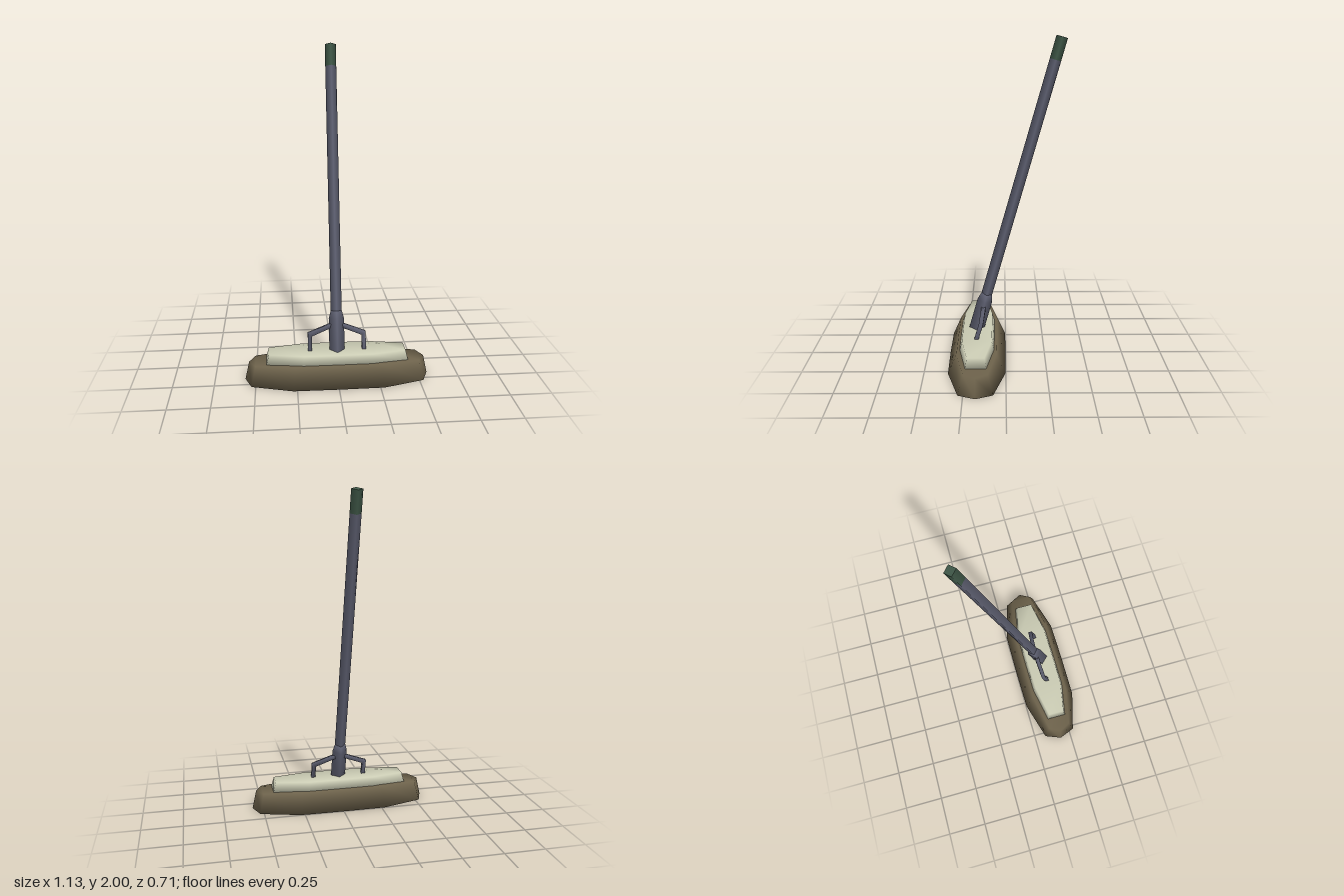
import * as THREE from 'three';
import { mergeVertices } from 'three/addons/utils/BufferGeometryUtils.js';

const material = (name, color) => {
  const m = new THREE.MeshStandardMaterial({ color });
  m.name = name;
  return m;
};

// Closed, smooth loft through four-cornered sections running towards +x.
// Corner order: back low, back high, front high, front low.
function loft(sections) {
  const index = [];
  const last = (sections.length - 1) * 4;
  for (let i = 0; i < sections.length - 1; i++) {
    for (let j = 0; j < 4; j++) {
      const a = i * 4 + j, b = i * 4 + (j + 1) % 4;
      index.push(a, b, b + 4, a, b + 4, a + 4);
    }
  }
  index.push(0, 2, 1, 0, 3, 2);
  index.push(last, last + 1, last + 2, last, last + 2, last + 3);
  const g = new THREE.BufferGeometry();
  g.setAttribute('position', new THREE.Float32BufferAttribute(sections.flat(2), 3));
  g.setIndex(index);
  const merged = mergeVertices(g);
  merged.computeVertexNormals();
  return merged;
}

const mirrored = (sections) =>
  sections.map((s) => s.map(([x, y, z]) => [-x, y, z])).reverse();

// Tapered block, symmetric in x and z.
// Each row: low x, low y, low half depth, high x, high y, high half depth.
function block(rows) {
  const right = rows.map(([xl, yl, dl, xh, yh, dh]) =>
    [[xl, yl, -dl], [xh, yh, -dh], [xh, yh, dh], [xl, yl, dl]]);
  return loft([...mirrored(right.slice(1)), ...right]);
}

export function createModel() {
  const slate = material('slate handle', 0x5d5f70);
  const green = material('green grip', 0x3f5747);
  const brown = material('brown bristles', 0x6d624b);
  const cream = material('cream head', 0xcccdb5);

  const model = new THREE.Group();
  model.name = 'pushBroom';
  const add = (parent, name, geometry, mat) => {
    const mesh = new THREE.Mesh(geometry, mat);
    mesh.name = name;
    parent.add(mesh);
    return mesh;
  };

  // Broom head: flared bristles with a bevelled block on top
  const head = new THREE.Group();
  head.name = 'head';
  head.position.z = 0.178;
  model.add(head);
  add(head, 'bristles', block([
    [0, 0, 0.178, 0, 0.125, 0.124],
    [0.275, 0, 0.175, 0.26, 0.125, 0.122],
    [0.525, 0, 0.103, 0.5, 0.118, 0.072],
    [0.565, 0, 0, 0.54, 0.115, 0],
  ]), brown);
  add(head, 'headBlock', block([
    [0, 0.11, 0.11, 0, 0.18, 0.092],
    [0.21, 0.11, 0.109, 0.205, 0.18, 0.091],
    [0.436, 0.11, 0.064, 0.418, 0.18, 0.052],
  ]), cream);

  // Leaning handle with diamond cross-section
  const handle = new THREE.Group();
  handle.name = 'handle';
  handle.position.set(0, 0.18, 0.183);
  handle.rotation.x = -0.273;
  model.add(handle);
  const rod = (name, r, from, to, mat) => {
    const g = new THREE.CylinderGeometry(r, r, to - from, 4);
    g.translate(0, (from + to) / 2, 0);
    add(handle, name, g, mat);
  };
  rod('pole', 0.034, 0, 1.745, slate);
  rod('grip', 0.034, 1.745, 1.88, green);

  // Socket, tapering where it meets the pole
  const profile = [[0, -0.04], [0.047, -0.04], [0.047, 0.19], [0.034, 0.238], [0, 0.238]];
  add(handle, 'socket', new THREE.LatheGeometry(
    profile.map(([x, y]) => new THREE.Vector2(x, y)), 4), slate);

  // Bent braces from socket to head; rows: inner x, y, outer x, y, centre z
  const brace = [
    [0.01, 0.318, 0.01, 0.343, 0.138],
    [0.154, 0.262, 0.178, 0.28, 0.153],
    [0.154, 0.15, 0.178, 0.15, 0.19],
  ].map(([xi, yi, xo, yo, z]) => [
    [xi, yi, z - 0.013], [xo, yo, z - 0.013], [xo, yo, z + 0.013], [xi, yi, z + 0.013],
  ]);
  add(model, 'leftBrace', loft(brace), slate);
  add(model, 'rightBrace', loft(mirrored(brace)), slate);

  return model;
}
